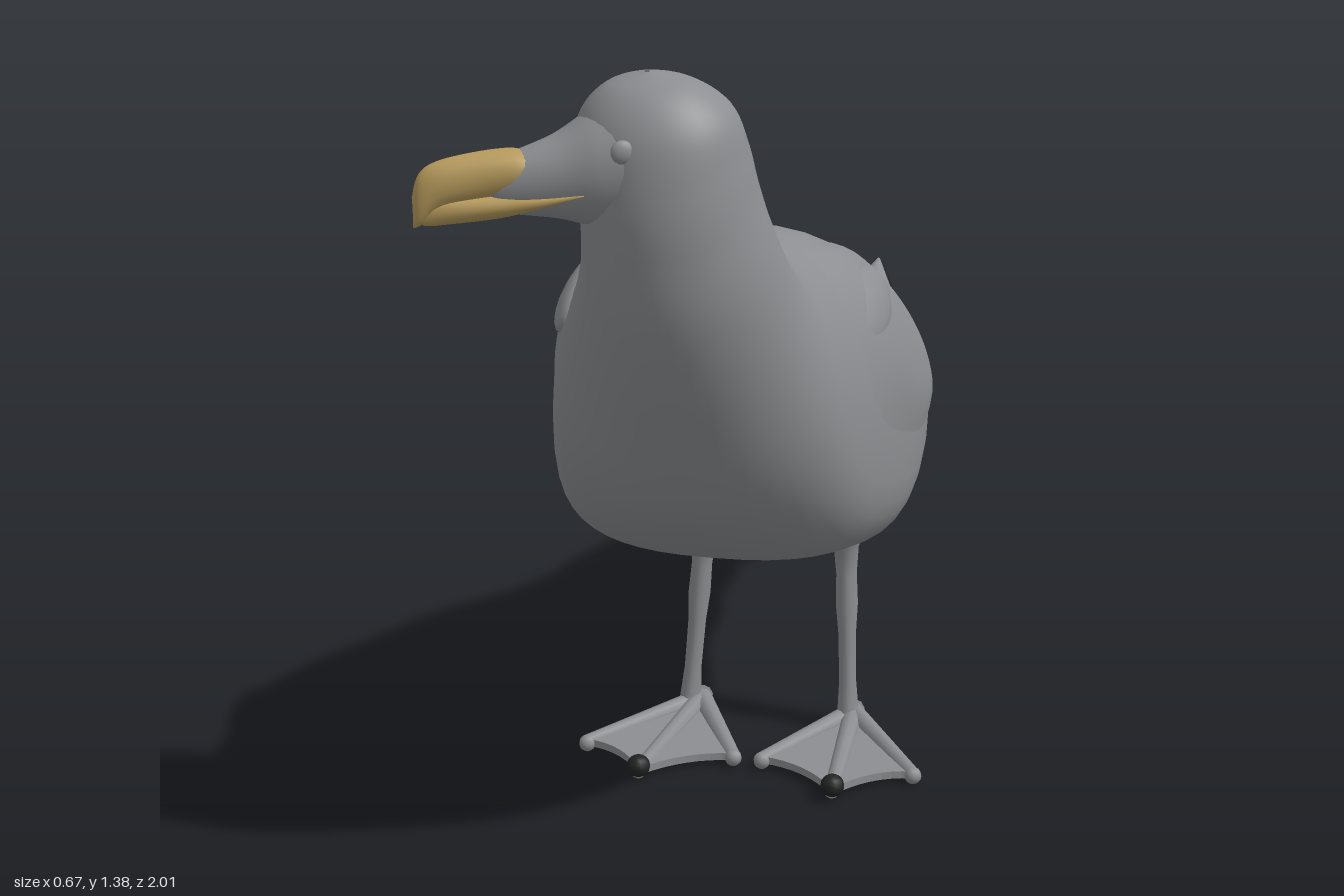
import * as THREE from 'three';

const mat = (name, color) => Object.assign(new THREE.MeshStandardMaterial({ color }), { name });

// Smooth interpolation of a table of cross-sections at position u
function sample(rows, u) {
  const n = rows.length - 1, i = Math.min(Math.floor(u), n - 1), t = u - i;
  const row = k => rows[Math.max(0, Math.min(n, k))];
  return rows[i].map((_, k) => {
    const a = row(i - 1)[k], b = row(i)[k], c = row(i + 1)[k], d = row(i + 2)[k];
    return b + 0.5 * t * (c - a + t * (2 * a - 5 * b + 4 * c - d + t * (3 * (b - c) + d - a)));
  });
}

// Point on a skin; row = [top z, top y, bottom z, bottom y, half width, centre x, squareness, sag of widest line]
function skinPoint(rows, u, a, lift = 0) {
  const [zt, yt, zb, yb, w, cx, p, sag] = sample(rows, u);
  const pow = q => Math.sign(q) * Math.abs(q) ** (2 / p);
  const c = pow(Math.cos(a)), s = pow(Math.sin(a));
  const len = Math.hypot(zt - zb, yt - yb) || 1, h = (c - sag * (1 - c * c)) / 2 + c * lift / len;
  return [cx + s * (Math.max(w, 0.001) + lift), (yt + yb) / 2 + (yt - yb) * h, (zt + zb) / 2 + (zt - zb) * h];
}

function grid(f, nu, nv, closed) {
  const pos = [], idx = [], cols = closed ? nv : nv + 1;
  for (let i = 0; i <= nu; i++) for (let j = 0; j < cols; j++) pos.push(...f(i / nu, j / nv));
  for (let i = 0; i < nu; i++) for (let j = 0; j < nv; j++) {
    const k = (j + 1) % cols, a = i * cols + j, b = a + cols, c = i * cols + k, d = c + cols;
    idx.push(a, b, c, b, d, c);
  }
  const g = new THREE.BufferGeometry();
  g.setAttribute('position', new THREE.Float32BufferAttribute(pos, 3));
  g.setIndex(idx);
  g.computeVertexNormals();
  return g;
}

const skin = (rows, nu, nv) =>
  grid((s, t) => skinPoint(rows, s * (rows.length - 1), t * Math.PI * 2), nu, nv, true);

// Raised area of a skin between two heights (-1 belly, 1 back) on one side
function patch(rows, side, u0, u1, top, bottom, lift) {
  return grid((s, t) => {
    const u = u0 + (u1 - u0) * s, p = sample(rows, u)[6];
    const angle = v => Math.acos(Math.sign(v) * Math.abs(v) ** (p / 2));
    const k = side > 0 ? t : 1 - t;
    const a = angle(top(s)) * (1 - k) + angle(bottom(s)) * k;
    return skinPoint(rows, u, side * a, lift(s, k));
  }, 48, 20, false);
}

const BODY = [
  [-1.0, 0.70, -1.0, 0.685, 0.005, 0, 1.8, 0],
  [-0.9, 0.678, -0.88, 0.58, 0.06, 0, 1.6, 0],
  [-0.75, 0.685, -0.75, 0.53, 0.118, 0, 1.6, 0],
  [-0.6, 0.70, -0.6, 0.515, 0.162, 0, 1.6, 0],
  [-0.4, 0.755, -0.41, 0.425, 0.203, 0, 1.8, 0],
  [-0.2, 0.86, -0.2, 0.40, 0.25, -0.015, 1.9, 0],
  [0, 0.945, 0, 0.40, 0.295, -0.005, 2.1, 0.08],
  [0.2, 1.015, 0.2, 0.425, 0.318, -0.005, 2.5, 0.22],
  [0.4, 1.062, 0.38, 0.465, 0.308, 0.002, 2.8, 0.27],
  [0.55, 1.09, 0.56, 0.515, 0.272, 0.012, 2.5, 0.25],
  [0.63, 1.12, 0.73, 0.635, 0.23, 0.02, 2.1, 0.15],
  [0.67, 1.16, 0.84, 0.81, 0.185, 0.027, 2, 0.05],
  [0.69, 1.2, 0.915, 0.98, 0.152, 0.032, 2, 0],
  [0.69, 1.24, 0.94, 1.11, 0.138, 0.025, 2, 0],
  [0.70, 1.29, 0.945, 1.2, 0.133, 0.016, 2, 0],
  [0.735, 1.34, 0.935, 1.285, 0.118, 0.01, 2, 0],
  [0.79, 1.37, 0.90, 1.345, 0.07, 0.005, 2, 0],
  [0.84, 1.377, 0.845, 1.376, 0.004, 0, 2, 0],
];
// Head parts are upright sections: [distance forward, top, bottom, half width]
const upright = list => list.map(([z, t, b, w]) => [z, t, z, b, w, 0, 2.1, 0]);
const FACE = upright([[-0.05, 1.34, 1.14, 0.09], [0.03, 1.345, 1.14, 0.105], [0.1, 1.32, 1.145, 0.09],
  [0.16, 1.285, 1.16, 0.064], [0.24, 1.255, 1.172, 0.033], [0.27, 1.235, 1.19, 0.015]]);
const UPPER_BILL = upright([[0.2, 1.262, 1.215, 0.038], [0.225, 1.268, 1.2, 0.039], [0.28, 1.264, 1.19, 0.031],
  [0.335, 1.253, 1.18, 0.024], [0.362, 1.235, 1.158, 0.016], [0.373, 1.2, 1.155, 0.006]]);
const LOWER_BILL = upright([[0.13, 1.208, 1.2, 0.077], [0.18, 1.206, 1.18, 0.058], [0.24, 1.205, 1.165, 0.038],
  [0.32, 1.2, 1.158, 0.022], [0.355, 1.19, 1.157, 0.01], [0.362, 1.18, 1.165, 0.004]]);
const COVERTS = [
  [-0.72, 0.42, -0.72, 0.4, 0.03, 0, 2, 0], [-0.68, 0.435, -0.68, 0.4, 0.065, 0, 2, 0],
  [-0.58, 0.465, -0.58, 0.41, 0.085, 0, 2, 0], [-0.45, 0.55, -0.45, 0.418, 0.11, 0, 2, 0],
  [-0.3, 0.6, -0.3, 0.44, 0.12, 0, 2, 0]];

// Flat plate from an outline of [x, z] points, top face at y = 0
function plate(shape, depth) {
  return new THREE.ExtrudeGeometry(shape, { depth, bevelEnabled: false, curveSegments: 8 }).rotateX(Math.PI / 2);
}

export function createModel() {
  const grey = mat('plumage grey', 0x8c8e91);
  const black = mat('wing tip black', 0x222222);
  const yellow = mat('bill yellow', 0xb69a5c);
  const model = new THREE.Group();
  model.name = 'gull';
  const add = (parent, name, geometry, material, x = 0, y = 0, z = 0) => {
    const m = new THREE.Mesh(geometry, material);
    m.name = name;
    m.position.set(x, y, z);
    parent.add(m);
    return m;
  };
  const rod = (parent, name, from, to, r0, r1) => {
    const a = new THREE.Vector3(...from), b = new THREE.Vector3(...to), d = b.clone().sub(a);
    const m = add(parent, name, new THREE.CylinderGeometry(r1, r0, d.length(), 10), grey, ...a.add(b).multiplyScalar(0.5));
    m.quaternion.setFromUnitVectors(new THREE.Vector3(0, 1, 0), d.normalize());
  };

  add(model, 'body', skin(BODY, 110, 48), grey);
  add(model, 'undertailCoverts', skin(COVERTS, 20, 20), grey);

  // Head turned towards one side, with a hooked bill
  const head = new THREE.Group();
  head.name = 'head';
  head.position.set(0.01, 0, 0.82);
  head.rotation.y = Math.atan2(-0.88, 0.48);
  model.add(head);
  add(head, 'face', skin(FACE, 30, 28), grey);
  add(head, 'upperBill', skin(UPPER_BILL, 30, 20), yellow);
  add(head, 'lowerBill', skin(LOWER_BILL, 24, 20), yellow);
  for (const s of [-1, 1])
    add(head, 'eye', new THREE.SphereGeometry(0.018, 14, 10).scale(0.5, 1, 1), grey, s * 0.094, 1.27, 0.075);

  // Notched tail fan, sloping down and strongly arched across
  const half = [[0.07, -0.55], [0.09, -0.65], [0.108, -0.75], [0.113, -0.83], [0.1, -0.9], [0.07, -0.95], [0.03, -0.99]];
  const outline = [...half, [0, -0.95], ...half.map(([x, z]) => [-x, z]).reverse(), [0, -0.55]];
  const tail = plate(new THREE.Shape(outline.map(p => new THREE.Vector2(...p))), 0.014);
  const tp = tail.attributes.position;
  for (let i = 0; i < tp.count; i++) {
    const x = tp.getX(i), z = tp.getZ(i);
    tp.setY(i, tp.getY(i) + 0.535 + Math.min(0, z + 0.74) * 0.5 - 5 * x * x);
  }
  tail.computeVertexNormals();
  add(model, 'tail', tail, grey);

  for (const s of [-1, 1]) {
    // Folded wing with dark tip and edge markings
    const swell = (a, b) => {
      const k = Math.min(1, 2 * Math.sin(Math.PI * a) * Math.sin(Math.PI * b));
      return -0.004 + 0.014 * (1 - (1 - k) ** 2);
    };
    add(model, 'foldedWing', patch(BODY, s, 3.4, 9, () => 0.95, () => -0.05, swell), grey);
    add(model, 'wingTip', patch(BODY, s, 0.1, 3.25, t => 0.6 - 0.22 * t, () => -0.93, () => 0.005), black);
    const w = t => 0.07 * Math.sin(Math.PI * t) ** 0.5 + 0.006;
    add(model, 'wingEdgeMark', patch(BODY, s, 4.85, 6.6, t => -0.24 - 0.22 * t + w(t),
      t => -0.24 - 0.22 * t - w(t), () => 0.006), black);
    add(model, 'wingEdgeLine', patch(BODY, s, 3.2, 4.45, t => -0.16 - 0.08 * t + w(t) * 0.6,
      t => -0.16 - 0.08 * t - w(t) * 0.6, () => 0.006), black);
    const shoulder = add(model, 'shoulderFeathers', new THREE.SphereGeometry(1, 20, 14).scale(0.03, 0.06, 0.11),
      grey, s * 0.25, 0.93, 0.42);
    shoulder.rotation.set(0.3, 0, s * 0.5);

    // Leg, deeper than wide, with feathered thigh and ankle knob
    const leg = new THREE.Group();
    leg.name = s > 0 ? 'leftLeg' : 'rightLeg';
    model.add(leg);
    const profile = [[0.027, 0.015], [0.024, 0.05], [0.02, 0.1], [0.021, 0.2], [0.026, 0.26], [0.024, 0.32],
      [0.029, 0.375], [0.05, 0.42], [0.085, 0.48]].map(p => new THREE.Vector2(...p));
    const ankle = s > 0 ? 0.152 : -0.168;
    const shank = add(leg, 'shank', new THREE.LatheGeometry(profile, 18).scale(0.8, 1, 1.2), grey, ankle, 0, 0.053);
    shank.rotation.set(0.035, 0, s > 0 ? 0.01 : -0.1);

    // Webbed foot: three toes, scalloped web, dark middle claw
    const foot = new THREE.Group();
    foot.name = 'foot';
    foot.position.x = s < 0 ? 0.015 : 0;
    leg.add(foot);
    const heel = [s * 0.16, 0.04], inner = [s * 0.035, 0.28], middle = [s * 0.19, 0.385], outer = [s * 0.32, 0.28];
    const web = new THREE.Shape();
    web.moveTo(...heel);
    web.lineTo(...inner);
    web.quadraticCurveTo(s * 0.125, 0.29, ...middle);
    web.quadraticCurveTo(s * 0.24, 0.29, ...outer);
    web.closePath();
    add(foot, 'web', plate(web, 0.014), grey, 0, 0.026, 0);
    for (const [x, z] of [inner, middle, outer]) {
      rod(foot, 'toe', [heel[0], 0.026, heel[1]], [x, 0.02, z], 0.02, 0.014);
      if (x !== middle[0]) add(foot, 'toeTip', new THREE.SphereGeometry(0.016, 10, 8), grey, x, 0.018, z);
    }
    rod(foot, 'hindToe', [heel[0], 0.03, heel[1]], [heel[0], 0.02, 0.025], 0.022, 0.014);
    add(foot, 'claw', new THREE.SphereGeometry(0.022, 12, 8).scale(1, 0.95, 1), black, middle[0], 0.029, 0.378);
  }
  return model;
}
